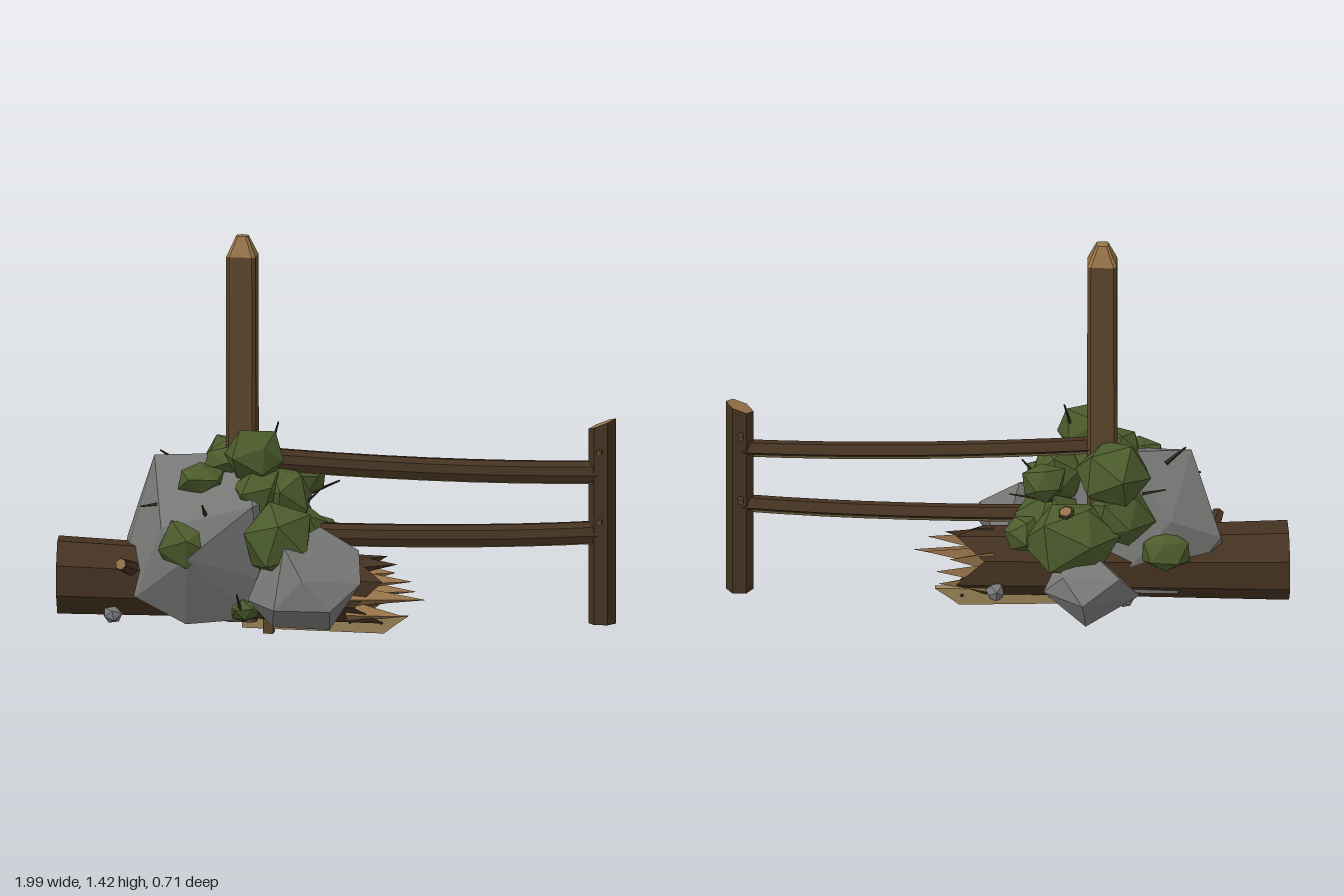
import * as THREE from 'three';
import { ConvexGeometry } from 'three/addons/geometries/ConvexGeometry.js';

const paint = (color) => new THREE.MeshStandardMaterial({ color, flatShading: true, side: THREE.DoubleSide });
const V = (x, y, z) => new THREE.Vector3(x, y, z);

export function createModel() {
  const model = new THREE.Group();
  const bark = paint(0x443221), darkBark = paint(0x32271a), postWood = paint(0x5c462c);
  const cutWood = paint(0x967349), paleWood = paint(0x998358), iron = paint(0x2c2620);
  const stone = paint(0x787877), leaf = paint(0x4c5b2c);

  function add(name, geometry, material) {
    const mesh = new THREE.Mesh(geometry, material);
    mesh.name = name;
    model.add(mesh);
    return mesh;
  }

  // Skin between successive rings of points
  function loft(rings) {
    const pos = [], n = rings[0].length;
    const put = (...pts) => pts.forEach((p) => pos.push(p.x, p.y, p.z));
    for (let i = 0; i < rings.length - 1; i++) {
      for (let j = 0; j < n; j++) {
        const k = (j + 1) % n, a = rings[i], b = rings[i + 1];
        put(a[j], a[k], b[k], a[j], b[k], b[j]);
      }
    }
    const g = new THREE.BufferGeometry();
    g.setAttribute('position', new THREE.Float32BufferAttribute(pos, 3));
    g.computeVertexNormals();
    return g;
  }

  // Straight round stick between two points
  function stick(name, a, b, r0, r1, sides, material) {
    const d = b.clone().sub(a);
    const mesh = add(name, new THREE.CylinderGeometry(r1, r0, d.length(), sides), material);
    mesh.position.copy(a).lerp(b, 0.5);
    mesh.quaternion.setFromUnitVectors(V(0, 1, 0), d.normalize());
    return mesh;
  }

  // Faceted lump: an icosahedron with each corner pushed in or out
  function lump(name, [x, y, z, rx, ry, rz], seed, material) {
    const g = new THREE.IcosahedronGeometry(1, 0), p = g.attributes.position, v = V(0, 0, 0);
    for (let i = 0; i < p.count; i++) {
      v.fromBufferAttribute(p, i);
      const key = Math.round(v.x * 10) * 3 + Math.round(v.y * 10) * 7 + Math.round(v.z * 10) * 13;
      const h = Math.sin(key * 12.99 + seed * 78.23) * 437.5;
      v.multiplyScalar(0.94 + 0.32 * (h - Math.floor(h)));
      v.applyEuler(new THREE.Euler(seed * 1.7, seed * 2.3, seed));
      p.setXYZ(i, v.x * rx, v.y * ry, v.z * rz);
    }
    g.computeVertexNormals();
    add(name, g, material).position.set(x, y, z);
  }

  // Tall chamfered post with a pale tapered tip
  const chamfered = (y, h, c) => [[h, c], [c, h], [-c, h], [-h, c], [-h, -c], [-c, -h], [c, -h], [h, -c]]
    .map(([x, z]) => V(-0.335 + x, y, z));
  const flat = (y) => chamfered(y, 0.0001, 0.0001);
  add('tallPost', loft([flat(0.045), chamfered(0.045, 0.055, 0.043), chamfered(1.35, 0.052, 0.04)]), postWood);
  add('tallPostTip', loft([chamfered(1.35, 0.052, 0.04), chamfered(1.42, 0.021, 0.014), flat(1.425)]), cutWood);

  // Short hexagonal end post with a slanted cut top
  const hexRing = (r, yAt) => Array.from({ length: 6 }, (_, i) => {
    const a = -i * Math.PI / 3, x = 0.944 + r * Math.cos(a);
    return V(x, yAt(x), r * 0.94 * Math.sin(a));
  });
  const slant = (x) => 0.775 + (x - 0.944) * 0.4;
  add('endPost', loft([hexRing(0.0001, () => 0.06), hexRing(0.049, () => 0.06), hexRing(0.049, slant)]), bark);
  add('endPostTop', loft([hexRing(0.049, slant), hexRing(0.0001, slant)]), cutWood);

  // Sagging split rails: rounded bark above, pale split face turned down and back
  const section = [[0.03, 0], [0.042, 0.028], [0.034, 0.058], [0.01, 0.074], [-0.016, 0.073], [-0.042, 0.045]];
  function rail(name, points) {
    const curve = new THREE.QuadraticBezierCurve3(...points);
    const stations = Array.from({ length: 9 }, (_, i) => curve.getPoint(i / 8));
    const rings = stations.map((p) => section.map(([z, y]) => V(p.x, p.y + y, p.z + z)));
    const ends = [rings[0], rings[8]].map((r, i) => r.map(() => stations[i * 8].clone().add(V(0, 0.035, 0))));
    add(name, loft([ends[0], ...rings, ends[1]]), bark);
    const face = new THREE.PlaneGeometry(1, 1, 8, 1), p = face.attributes.position;
    for (let i = 0; i < p.count; i++) {
      const s = stations[i % 9], [z, y] = section[i < 9 ? 5 : 0];
      p.setXYZ(i, s.x, s.y + y - 0.003, s.z + z - 0.002);
    }
    add(name + 'SplitFace', face, paleWood);
  }
  rail('upperRail', [V(-0.33, 0.592, -0.008), V(0.35, 0.548, -0.005), V(0.935, 0.567, 0)]);
  rail('lowerRail', [V(-0.33, 0.325, -0.008), V(0.4, 0.312, -0.005), V(0.935, 0.352, 0)]);
  for (const y of [0.68, 0.43]) stick('railPeg', V(0.94, y, -0.068), V(0.94, y, 0.068), 0.011, 0.011, 6, postWood);

  // Fallen octagonal log, cut at one end and snapped at the other
  const logRing = (x, y, z, r, jag = 0) => Array.from({ length: 8 }, (_, i) => {
    const a = (i + 0.5) * Math.PI / 4;
    return V(x + (i % 2 ? jag : -jag), y + r * Math.cos(a), z + r * Math.sin(a));
  });
  const cutEnd = logRing(-0.99, 0.19, -0.008, 0.141);
  cutEnd.forEach((p) => { p.x += p.z * 0.07; });
  add('log', loft([cutEnd, logRing(-0.5, 0.18, 0, 0.128), logRing(0.13, 0.167, 0.027, 0.122, 0.05)]), bark);
  add('logCutFace', loft([cutEnd, logRing(-0.99, 0.19, -0.008, 0.0001)]), cutWood);
  add('logBrokenFace', loft([logRing(0.07, 0.167, 0.027, 0.118), logRing(0.1, 0.167, 0.027, 0.0001)]), cutWood);
  // [angle round the log, distance from its axis, tip x]
  [[0.2, 0.09, 0.22], [1, 0.08, 0.28], [1.7, 0.085, 0.33], [2.5, 0.09, 0.25], [3.3, 0.085, 0.19],
    [4.2, 0.09, 0.24], [5.2, 0.09, 0.2], [1.4, 0.03, 0.29]].forEach(([a, r, x], i) => {
    const y = 0.165 + r * Math.cos(a), z = 0.03 + r * Math.sin(a);
    stick('splinter', V(0.05, y, z), V(x, y + 0.01 * Math.cos(a), z + 0.02 * Math.sin(a)), 0.045, 0.001, 3,
      i % 4 ? cutWood : bark);
  });

  // Branch stubs
  stick('branchStub', V(-0.71, 0.23, 0.08), V(-0.74, 0.27, 0.205), 0.03, 0.022, 6, bark);
  stick('branchStubEnd', V(-0.74, 0.27, 0.205), V(-0.741, 0.271, 0.208), 0.02, 0.02, 6, cutWood);
  stick('topStub', V(-0.23, 0.3, -0.12), V(-0.21, 0.46, -0.19), 0.034, 0.03, 6, bark);
  stick('topStubEnd', V(-0.21, 0.46, -0.19), V(-0.209, 0.464, -0.192), 0.022, 0.022, 6, cutWood);

  // Narrow pale board on the ground with a pointed end, cleat and nails
  const board = new THREE.Shape([[-0.335, 0.018], [0.17, 0.008], [0.205, 0.035], [0.255, 0.07], [-0.335, 0.072]]
    .map(([x, y]) => new THREE.Vector2(x, y)));
  add('groundBoard', new THREE.ExtrudeGeometry(board, { depth: 0.025, bevelEnabled: false }), paleWood)
    .position.z = -0.012;
  add('boardCleat', new THREE.BoxGeometry(0.035, 0.07, 0.048), postWood).position.set(-0.24, 0.035, 0);
  for (const x of [-0.15, 0.05, 0.16]) stick('nail', V(x, 0.045, -0.017), V(x, 0.045, 0.018), 0.006, 0.006, 6, iron);

  // Large boulder leaning against the tall post
  add('largeBoulder', new ConvexGeometry([
    [-0.65, 0.625, -0.02], [-0.41, 0.63, -0.05], [-0.2, 0.5, 0.1], [-0.25, 0.22, 0.17], [-0.52, 0.045, 0.12],
    [-0.77, 0.19, 0], [-0.755, 0.32, -0.1], [-0.7, 0.14, 0.13], [-0.6, 0.4, 0.19], [-0.5, 0.3, 0.24],
    [-0.27, 0.49, 0.23], [-0.58, 0.4, -0.14], [-0.35, 0.1, -0.1], [-0.6, 0.1, -0.1], [-0.28, 0.07, 0.12],
    [-0.3, 0.57, 0.12],
  ].map((p) => V(...p))), stone);
  // Smaller boulders
  add('frontBoulder', new ConvexGeometry([
    [-0.04, 0.41, 0.15], [-0.23, 0.3, 0.18], [-0.29, 0.15, 0.2], [-0.2, 0.06, 0.22], [0, 0.05, 0.2], [0.12, 0.23, 0.27],
    [0.1, 0.33, 0.16], [-0.08, 0.25, 0.35], [0.02, 0.14, 0.35], [-0.18, 0.14, 0.35], [-0.1, 0.08, 0.08],
    [0.02, 0.2, 0.05], [-0.15, 0.36, 0.3],
  ].map((p) => V(...p))), stone);
  add('backBoulder', new ConvexGeometry([
    [-0.47, 0.14, -0.2], [-0.4, 0.24, -0.28], [-0.27, 0.17, -0.36], [-0.2, 0.25, -0.29], [-0.13, 0.17, -0.24],
    [-0.3, 0.3, -0.18], [-0.28, 0.055, -0.28], [-0.4, 0.08, -0.12], [-0.16, 0.09, -0.12], [-0.2, 0.28, -0.12],
  ].map((p) => V(...p))), stone);
  // Pebbles
  [[-0.76, 0.105, 0.3, 0.034, 0.03, 0.034], [0.04, 0.1, -0.1, 0.034, 0.032, 0.034],
    [-0.42, 0.08, -0.1, 0.03, 0.03, 0.03]].forEach((s, i) => lump('pebble', s, i + 1, stone));

  // Moss and leaf clumps
  [
    [-0.28, 0.645, 0.1, 0.105, 0.09, 0.075], [-0.38, 0.565, -0.09, 0.13, 0.125, 0.115],
    [-0.24, 0.34, -0.155, 0.155, 0.14, 0.115], [-0.18, 0.36, 0.19, 0.12, 0.125, 0.125],
    [-0.18, 0.5, 0.05, 0.095, 0.11, 0.11], [-0.13, 0.545, -0.13, 0.075, 0.075, 0.065],
    [-0.14, 0.34, -0.03, 0.13, 0.11, 0.11], [-0.5, 0.335, 0.18, 0.105, 0.09, 0.07],
    [-0.47, 0.56, 0.09, 0.085, 0.06, 0.07], [-0.38, 0.62, 0.02, 0.095, 0.06, 0.09],
    [-0.56, 0.28, -0.13, 0.08, 0.07, 0.06], [-0.4, 0.42, -0.11, 0.11, 0.11, 0.08],
    [-0.27, 0.52, 0.12, 0.09, 0.09, 0.085], [-0.31, 0.1, 0.14, 0.05, 0.04, 0.05],
    [-0.06, 0.34, -0.11, 0.07, 0.065, 0.06], [-0.36, 0.1, -0.02, 0.06, 0.04, 0.06],
  ].forEach((s, i) => lump('leafClump', s, i + 3, leaf));

  // Thin twigs poking out of the clumps
  [
    [-0.24, 0.62, 0.06, -0.2, 0.765, 0.05], [-0.16, 0.46, -0.1, -0.01, 0.52, -0.17], [-0.15, 0.43, 0.05, -0.05, 0.53, 0.09],
    [-0.62, 0.47, 0.1, -0.68, 0.465, 0.13], [-0.56, 0.59, -0.06, -0.63, 0.64, -0.03], [-0.44, 0.45, 0.2, -0.45, 0.49, 0.22],
    [-0.48, 0.5, -0.12, -0.56, 0.54, -0.17], [-0.31, 0.07, 0.17, -0.33, 0.17, 0.2],
  ].forEach(([a, b, c, d, e, f]) => stick('twig', V(a, b, c), V(d, e, f), 0.008, 0.003, 4, darkBark));

  return model;
}
